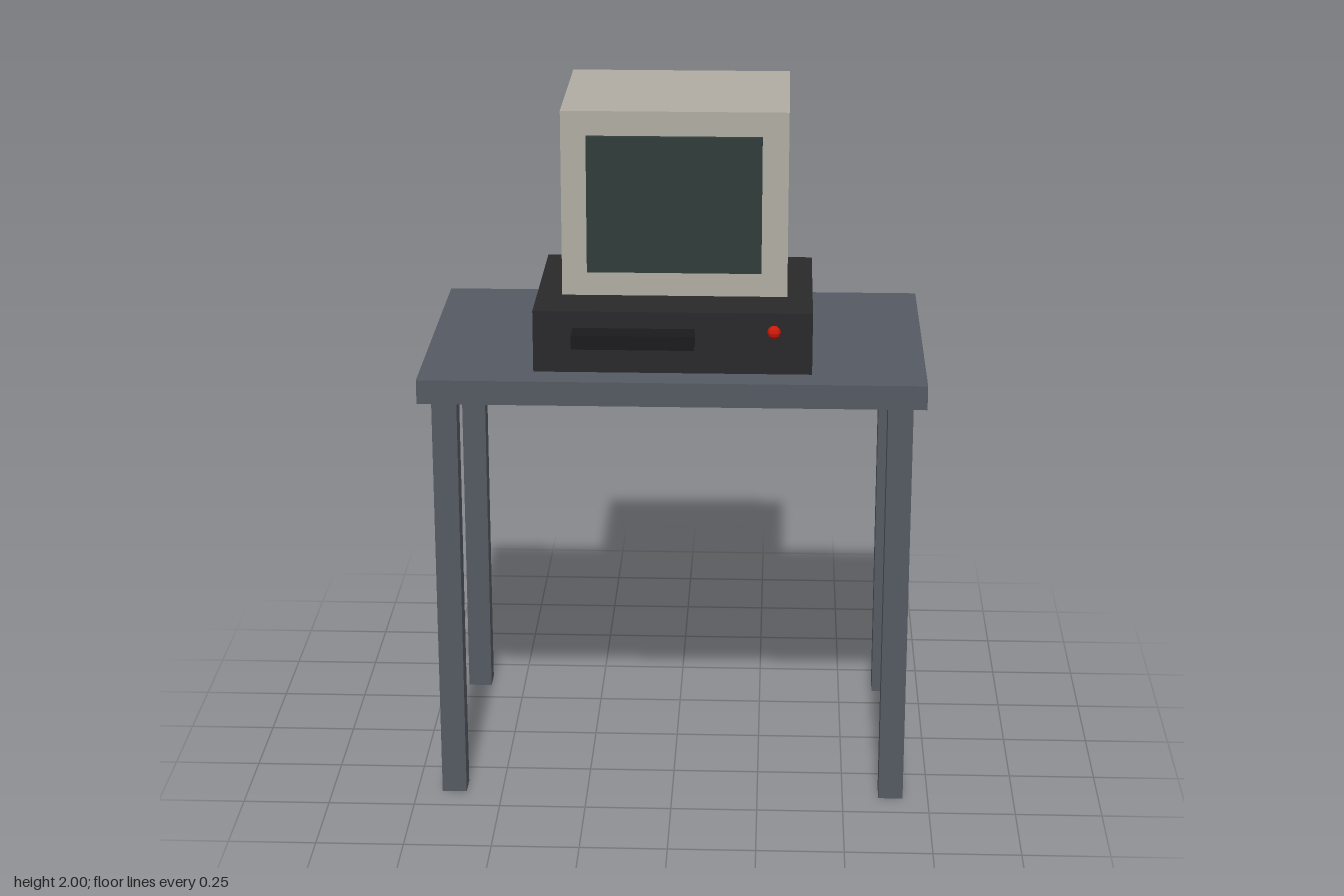
import * as THREE from 'three';

const material = (color) => new THREE.MeshStandardMaterial({ color, flatShading: true });

export function createModel() {
  const model = new THREE.Group();
  model.name = 'computerDesk';

  const tableMat = material(0x555a63);
  const caseMat = material(0x29292b);
  const driveMat = material(0x1b1b1d);
  const shellMat = material(0xb0aca3);
  const screenMat = material(0x303c3a);
  const buttonMat = material(0xcc1a0a);

  // Box given by its extents along each axis
  function box(name, mat, [x0, x1], [y0, y1], [z0, z1], parent = model) {
    const mesh = new THREE.Mesh(new THREE.BoxGeometry(x1 - x0, y1 - y0, z1 - z0), mat);
    mesh.position.set((x0 + x1) / 2, (y0 + y1) / 2, (z0 + z1) / 2);
    mesh.name = name;
    parent.add(mesh);
    return mesh;
  }

  // Table: top and four square legs
  const table = new THREE.Group();
  table.name = 'table';
  model.add(table);
  box('tableTop', tableMat, [-0.713, 0.713], [1.218, 1.288], [-0.446, 0.446], table);
  for (const [side, sx] of [['left', 1], ['right', -1]]) {
    for (const [end, sz] of [['Front', 1], ['Back', -1]]) {
      const x = sx * 0.641, z = sz * 0.375, h = 0.0355;
      box(`${side}${end}Leg`, tableMat, [x - h, x + h], [0, 1.218], [z - h, z + h], table);
    }
  }

  // Computer: case, protruding disk drive and power button
  const computer = new THREE.Group();
  computer.name = 'computer';
  model.add(computer);
  box('case', caseMat, [-0.392, 0.392], [1.288, 1.466], [-0.214, 0.356], computer);
  box('diskDrive', driveMat, [-0.28, 0.062], [1.377, 1.418], [0.33, 0.427], computer);
  const button = new THREE.Mesh(new THREE.SphereGeometry(0.019, 8, 6), buttonMat);
  button.name = 'powerButton';
  button.position.set(0.284, 1.414, 0.364);
  computer.add(button);

  // Monitor: shell and slightly raised screen
  const monitor = new THREE.Group();
  monitor.name = 'monitor';
  model.add(monitor);
  box('monitorShell', shellMat, [-0.32, 0.32], [1.466, 2], [-0.338, 0.195], monitor);
  box('screen', screenMat, [-0.248, 0.246], [1.538, 1.93], [0.18, 0.212], monitor);

  return model;
}
